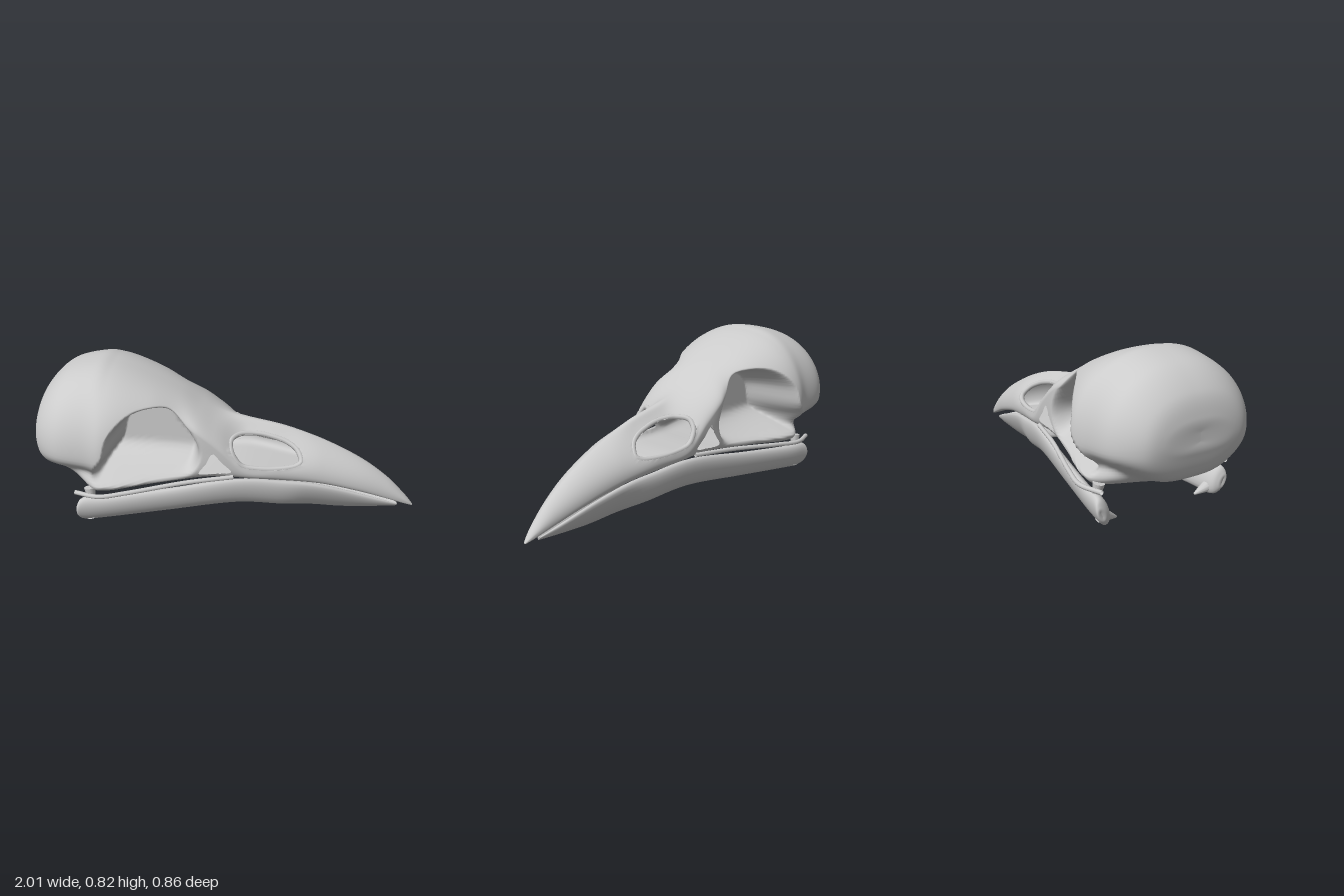
import * as THREE from 'three';

const bone = new THREE.MeshStandardMaterial({ color: 0xcccccc, side: THREE.DoubleSide });
const { lerp, smoothstep } = THREE.MathUtils;
const v = (x, y, z) => new THREE.Vector3(x, y, z);

// Smooth interpolation of a table of stations at fractional index s
function sample(rows, s) {
  const i = Math.min(Math.floor(s), rows.length - 2), t = s - i;
  const at = k => rows[Math.max(0, Math.min(rows.length - 1, k))];
  return rows[i].map((b, c) => {
    const a = at(i - 1)[c], d = at(i + 1)[c], e = at(i + 2)[c];
    return b + 0.5 * t * (d - a + t * (2 * a - 5 * b + 4 * d - e + t * (3 * (b - d) + e - a)));
  });
}

// Closed-loop loft; point(i, j) gives a vertex, skip(x, y) drops faces
function loft(rows, cols, point, skip = () => false) {
  const pos = [], index = [];
  for (let i = 0; i <= rows; i++) for (let j = 0; j < cols; j++) pos.push(...point(i, j));
  const face = (...f) => {
    const mid = k => f.reduce((sum, n) => sum + pos[n * 3 + k], 0) / 3;
    if (!skip(mid(0), mid(1))) index.push(...f);
  };
  for (let i = 0; i < rows; i++) for (let j = 0; j < cols; j++) {
    const a = i * cols + j, b = i * cols + (j + 1) % cols;
    face(a, b, a + cols);
    face(b, b + cols, a + cols);
  }
  const g = new THREE.BufferGeometry();
  g.setAttribute('position', new THREE.Float32BufferAttribute(pos, 3));
  g.setIndex(index);
  g.computeVertexNormals();
  return g;
}

// Rounded outline in the side plane
const outline = pts => new THREE.CatmullRomCurve3(pts.map(([x, y]) => v(x, y, 0)), true, 'centripetal').getPoints(48);

// Distance to an outline (positive inside) and its nearest point
function probe(poly, x, y) {
  let best = Infinity, inside = false, nx = 0, ny = 0;
  for (let i = 0, j = poly.length - 1; i < poly.length; j = i++) {
    const a = poly[j], b = poly[i], dx = b.x - a.x, dy = b.y - a.y;
    const t = Math.max(0, Math.min(1, ((x - a.x) * dx + (y - a.y) * dy) / (dx * dx + dy * dy + 1e-12)));
    const px = a.x + dx * t, py = a.y + dy * t, d = Math.hypot(x - px, y - py);
    if (d < best) { best = d; nx = px; ny = py; }
    if ((a.y > y) !== (b.y > y) && x < a.x + dx * (y - a.y) / dy) inside = !inside;
  }
  return { d: inside ? best : -best, nx, ny };
}

// x, top, widest height, bottom, width, width at the floor
const SKULL = [
  [-1, 0.5, 0.48, 0.46, 0, 0],
  [-1, 0.57, 0.47, 0.4, 0.2, 0.2],
  [-0.96, 0.68, 0.46, 0.28, 0.31, 0.27],
  [-0.85, 0.78, 0.45, 0.24, 0.395, 0.32],
  [-0.69, 0.825, 0.44, 0.205, 0.415, 0.405],
  [-0.6, 0.815, 0.45, 0.205, 0.43, 0.41],
  [-0.5, 0.785, 0.5, 0.215, 0.39, 0.385],
  [-0.38, 0.735, 0.58, 0.225, 0.3, 0.345],
  [-0.25, 0.67, 0.57, 0.235, 0.225, 0.3],
  [-0.14, 0.605, 0.51, 0.245, 0.245, 0.265],
  [-0.03, 0.55, 0.42, 0.25, 0.24, 0.24],
  [0.1, 0.517, 0.3, 0.25, 0.224, 0.224],
  [0.3, 0.475, 0.28, 0.23, 0.187, 0.187],
  [0.5, 0.405, 0.24, 0.2, 0.142, 0.142],
  [0.7, 0.305, 0.18, 0.145, 0.1, 0.1],
  [0.85, 0.2, 0.12, 0.09, 0.06, 0.06],
  [0.95, 0.1, 0.07, 0.05, 0.03, 0.03],
  [1, 0.04, 0.035, 0.03, 0.008, 0.008],
  [1, 0.036, 0.035, 0.034, 0, 0],
];
const SOCKET = outline([[-0.7, 0.24], [-0.665, 0.36], [-0.61, 0.44], [-0.575, 0.56], [-0.47, 0.655],
  [-0.3, 0.655], [-0.21, 0.57], [-0.125, 0.42], [-0.165, 0.29], [-0.25, 0.245]]);
const NOSTRIL = outline([[0.02, 0.45], [0.12, 0.455], [0.24, 0.435], [0.36, 0.385], [0.39, 0.33],
  [0.34, 0.31], [0.1, 0.325], [0.055, 0.36]]);
const CHEEK = outline([[-0.14, 0.285], [-0.1, 0.35], [-0.065, 0.41], [-0.02, 0.36], [0.03, 0.3], [-0.05, 0.283]]);

// Width fraction of the upper wall: domed cranium, hollow flanks by the nostrils, ridged beak
function flank(x, s) {
  const ridge = lerp(0.85, 1.6, smoothstep(x, -0.2, 0.1)) - 0.35 * smoothstep(x, 0.4, 0.8);
  const hollow = smoothstep(x, -0.06, 0.1) * (1 - smoothstep(x, 0.28, 0.5));
  return lerp(s ** ridge, 0.28 * s ** 0.8 + 0.72 * s ** 4, hollow);
}

// Cranium and upper beak as one shell: dented sockets, cut nostrils and cheek gaps
function skullGeometry() {
  const step = 12, half = 64, rows = (SKULL.length - 1) * step;
  return loft(rows, half * 2, (i, j) => {
    let [x, top, ym, bot, w, wBot] = sample(SKULL, i / step);
    const side = j > half ? -1 : 1, u = (j > half ? 2 * half - j : j) / half;
    let y, z;
    if (u < 0.7) {
      const a = u / 0.7 * Math.PI / 2;
      y = ym + (top - ym) * Math.cos(a);
      z = flank(x, Math.sin(a));
    } else {
      const b = (u - 0.7) / 0.3 * Math.PI / 2;
      y = ym - (ym - bot) * Math.sin(b);
      z = Math.max(0, Math.cos(b)) ** lerp(0.65, 0.16, smoothstep(x, -0.9, -0.65));
    }
    // pinched temples flaring to the floor
    const pinch = 0.07 * Math.exp(-(((y - 0.31) / 0.05) ** 2) - (((x + 0.72) / 0.12) ** 2));
    z *= Math.max(0, lerp(wBot, w, smoothstep(y, 0.25, 0.42)) - pinch);
    // eye socket with a floor sloping out to the cheek bar
    const eye = probe(SOCKET, x, y).d;
    if (eye > 0) {
      const wall = lerp(wBot, 0.1, smoothstep(y, 0.21, 0.4));
      z = lerp(z, Math.min(z, wall), smoothstep(eye, 0, 0.055));
    }
    for (const hole of [NOSTRIL, CHEEK]) {
      const h = probe(hole, x, y);
      if (Math.abs(h.d) < 0.007) { x = h.nx; y = h.ny; }
    }
    return [x, y, z * side];
  }, (x, y) => [NOSTRIL, CHEEK].some(hole => probe(hole, x, y).d > 0));
}

// Thickness of the bone around the nostril, set just under the shell
function nostrilRim() {
  const pts = NOSTRIL.filter((_, i) => i % 3 === 0 && i < 48).map(({ x, y }) => {
    let lo = 0, hi = SKULL.length - 1;
    for (let k = 0; k < 30; k++) {
      const m = (lo + hi) / 2;
      if (sample(SKULL, m)[0] < x) lo = m; else hi = m;
    }
    const [, top, ym, , w] = sample(SKULL, lo);
    const c = Math.max(0, Math.min(1, (y - ym) / (top - ym)));
    return v(x, y, w * flank(x, Math.sqrt(1 - c * c)) - 0.014);
  });
  return new THREE.TubeGeometry(new THREE.CatmullRomCurve3(pts, true), 64, 0.014, 8, true);
}

// x, top, bottom, z at top, z at bottom, half thickness
const JAW = [
  [-0.765, 0.11, 0.09, 0.37, 0.36, 0],
  [-0.765, 0.14, 0.06, 0.375, 0.35, 0.025],
  [-0.73, 0.18, 0.03, 0.365, 0.325, 0.04],
  [-0.6, 0.185, 0.04, 0.345, 0.305, 0.038],
  [-0.3, 0.215, 0.065, 0.285, 0.245, 0.034],
  [0.05, 0.255, 0.09, 0.215, 0.17, 0.032],
  [0.3, 0.225, 0.055, 0.155, 0.105, 0.032],
  [0.45, 0.2, 0.025, 0.122, 0.04, 0.032],
  [0.62, 0.15, 0.003, 0.085, 0.008, 0.026],
  [0.8, 0.085, 0.012, 0.045, 0.004, 0.018],
  [0.92, 0.035, 0.02, 0.008, 0, 0.005],
];
function jawGeometry() {
  const step = 6, cols = 20;
  return loft((JAW.length - 1) * step, cols, (i, j) => {
    const [x, top, bot, zt, zb, th] = sample(JAW, i / step);
    const a = j / cols * Math.PI * 2, k = (1 + Math.cos(a)) / 2;
    return [x, lerp(bot, top, k), lerp(zb, zt, k) + th * Math.sin(a)];
  });
}

// Tapered rod between two points
function rod(a, b, r0, r1) {
  const g = new THREE.CylinderGeometry(r1, r0, a.distanceTo(b), 10);
  g.applyQuaternion(new THREE.Quaternion().setFromUnitVectors(v(0, 1, 0), b.clone().sub(a).normalize()));
  return g.translate((a.x + b.x) / 2, (a.y + b.y) / 2, (a.z + b.z) / 2);
}

export function createModel() {
  const model = new THREE.Group();
  model.name = 'birdSkull';
  const add = (name, geometry, mirror) => {
    for (const s of mirror ? [1, -1] : [1]) {
      const mesh = new THREE.Mesh(geometry, bone);
      mesh.name = mirror ? name + (s > 0 ? 'Front' : 'Back') : name;
      mesh.scale.z = s;
      model.add(mesh);
    }
  };
  add('craniumAndUpperBeak', skullGeometry());
  add('nostrilRim', nostrilRim(), true);
  add('lowerJaw', jawGeometry(), true);
  // cheek bar from the jaw joint to the beak
  const cheek = new THREE.CatmullRomCurve3([v(-0.77, 0.213, 0.37), v(-0.64, 0.215, 0.405), v(-0.5, 0.228, 0.375),
    v(-0.2, 0.255, 0.28), v(0.04, 0.27, 0.222)]);
  add('cheekBar', new THREE.TubeGeometry(cheek, 32, 0.012, 8), true);
  // jaw joint and the inward spur of the lower jaw
  add('jawJoint', rod(v(-0.7, 0.23, 0.34), v(-0.69, 0.15, 0.35), 0.03, 0.018), true);
  add('jawSpur', rod(v(-0.71, 0.075, 0.335), v(-0.7, 0.035, 0.24), 0.04, 0.006), true);
  return model;
}
